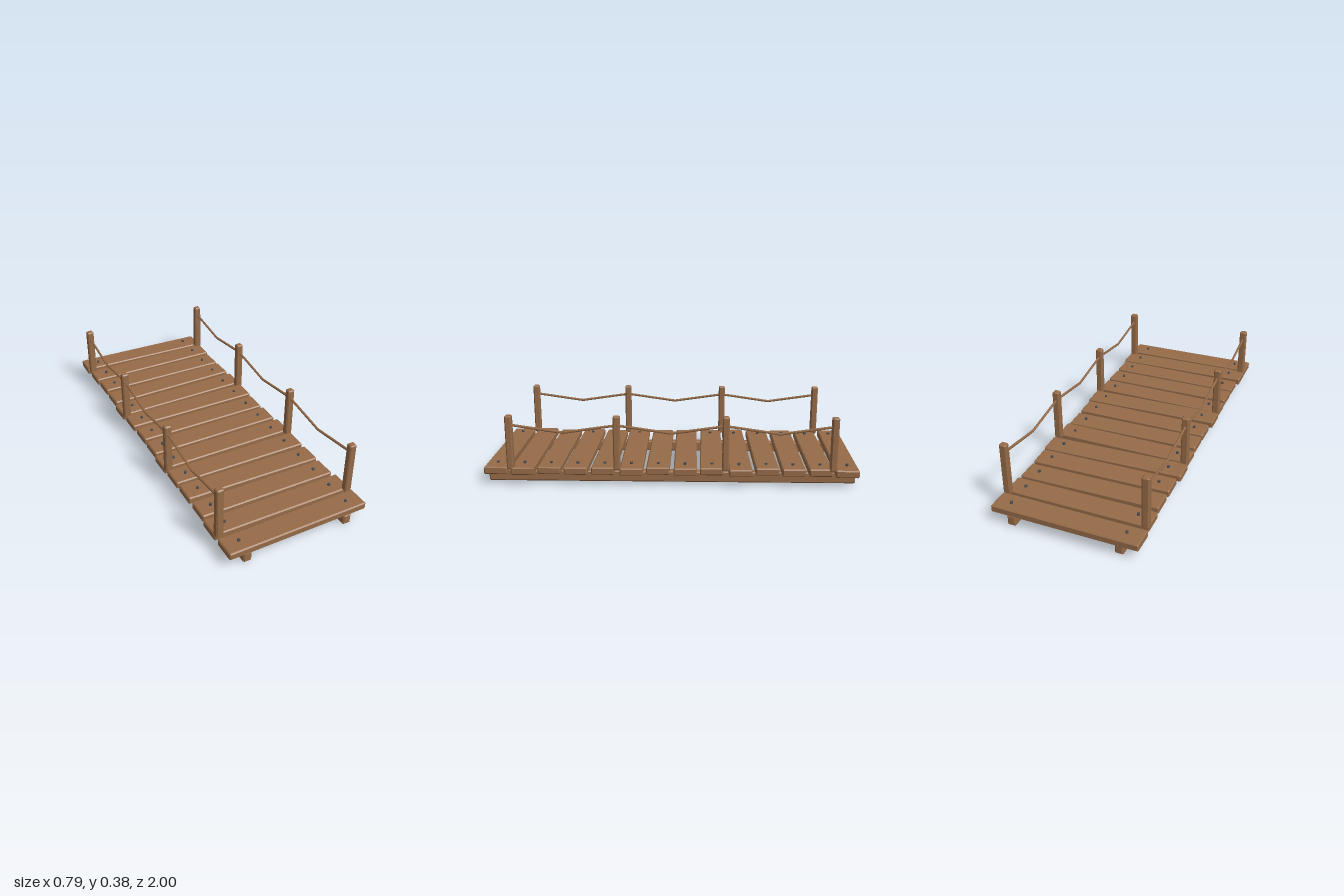
import * as THREE from 'three';
import { ConvexGeometry } from 'three/addons/geometries/ConvexGeometry.js';

// Box with chamfered edges, flat faces
function chamferBox(w, h, d, c) {
  const pts = [];
  for (const x of [-1, 1]) for (const y of [-1, 1]) for (const z of [-1, 1]) {
    const X = x * w / 2, Y = y * h / 2, Z = z * d / 2;
    pts.push(
      new THREE.Vector3(X, Y - y * c, Z - z * c),
      new THREE.Vector3(X - x * c, Y, Z - z * c),
      new THREE.Vector3(X - x * c, Y - y * c, Z));
  }
  return new ConvexGeometry(pts);
}

export function createModel() {
  const wood = new THREE.MeshStandardMaterial({ color: 0x966b48 });
  wood.name = 'wood';
  const iron = new THREE.MeshStandardMaterial({ color: 0x4a4f55 });
  iron.name = 'iron';

  const model = new THREE.Group();
  model.name = 'footbridge';
  const add = (name, geometry, material, x, y, z, parent = model) => {
    const mesh = new THREE.Mesh(geometry, material);
    mesh.name = name;
    mesh.position.set(x, y, z);
    parent.add(mesh);
    return mesh;
  };

  // Planks: [length, skew in z across the length, lift]
  const planks = [
    [0.785, 0.018, 0], [0.77, 0.006, 0], [0.76, 0, 0.001], [0.76, -0.009, 0.002],
    [0.785, -0.014, 0], [0.765, 0.006, 0.002], [0.755, -0.004, 0], [0.755, 0, 0.001],
    [0.78, -0.006, 0.002], [0.765, 0.009, 0], [0.765, 0.011, 0.001], [0.76, 0.005, 0],
    [0.785, -0.002, 0.001], [0.78, -0.006, 0.001],
  ];
  const nail = new THREE.CylinderGeometry(0.008, 0.008, 0.02, 8);
  planks.forEach(([length, skew, lift], i) => {
    const z = -0.932 + i * 0.1433;
    const plank = add('plank', chamferBox(length, 0.04, 0.123, 0.006), wood, 0, 0.08 + lift, z);
    plank.rotation.y = -skew / length;
    plank.rotation.z = i % 2 ? 0.004 : -0.004;
    for (const x of [-0.307, 0.305]) add('nail', nail, iron, x, 0.1, z);
  });

  const beam = chamferBox(0.046, 0.06, 1.965, 0.007);
  const post = chamferBox(0.039, 0.29, 0.036, 0.006);
  const postZ = [-0.848, -0.285, 0.285, 0.848];

  for (const side of [-1, 1]) {
    // Support beam under the deck
    add('beam', beam, wood, side * 0.286, 0.03, 0.002);

    // Railing posts and sagging ropes
    const railing = new THREE.Group();
    railing.name = side > 0 ? 'leftRailing' : 'rightRailing';
    model.add(railing);
    for (const z of postZ) add('post', post, wood, side * 0.371, 0.235, z, railing);

    const path = new THREE.CurvePath();
    const points = [];
    postZ.forEach((z, i) => {
      points.push(new THREE.Vector3(0, 0.33, z));
      if (i < 3) points.push(new THREE.Vector3(0, 0.289, (z + postZ[i + 1]) / 2));
    });
    for (let i = 0; i < points.length - 1; i++) path.add(new THREE.LineCurve3(points[i], points[i + 1]));
    add('rope', new THREE.TubeGeometry(path, 36, 0.007, 6), wood, side * 0.371, 0, 0, railing);
  }
  return model;
}
